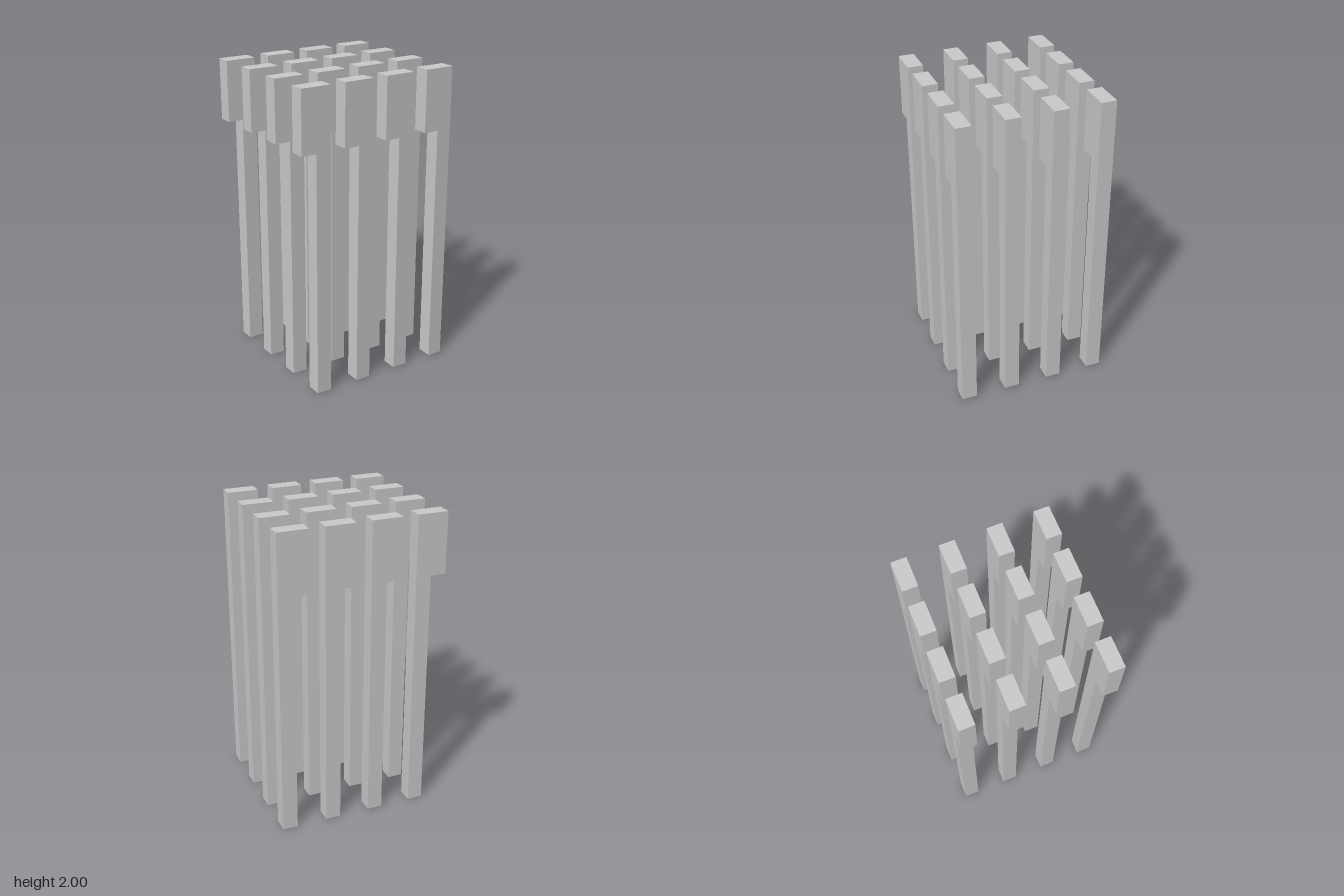
import * as THREE from 'three';

const COUNT = 4;      // posts per row and per column
const SPACING = 0.3;
const DEPTH = 0.1;

export function createModel() {
  const model = new THREE.Group();
  model.name = 'postGrid';
  const material = new THREE.MeshStandardMaterial({ color: 0xcccccc, flatShading: true });

  // Post outline: a slim shaft with a head that overhangs towards -x
  const outline = new THREE.Shape([
    [0, 0], [0.1, 0], [0.1, 2], [-0.1, 2], [-0.1, 1.6], [0, 1.6],
  ].map(([x, y]) => new THREE.Vector2(x, y)));
  const geometry = new THREE.ExtrudeGeometry(outline, { depth: DEPTH, bevelEnabled: false });
  geometry.translate(0, 0, -DEPTH / 2);

  // Square grid of identical posts, all facing the same way
  const offset = (i) => (i - (COUNT - 1) / 2) * SPACING;
  for (let row = 0; row < COUNT; row++) {
    for (let column = 0; column < COUNT; column++) {
      const post = new THREE.Mesh(geometry, material);
      post.name = `post_row${row + 1}_column${column + 1}`;
      post.position.set(offset(column), 0, offset(row));
      model.add(post);
    }
  }
  return model;
}
